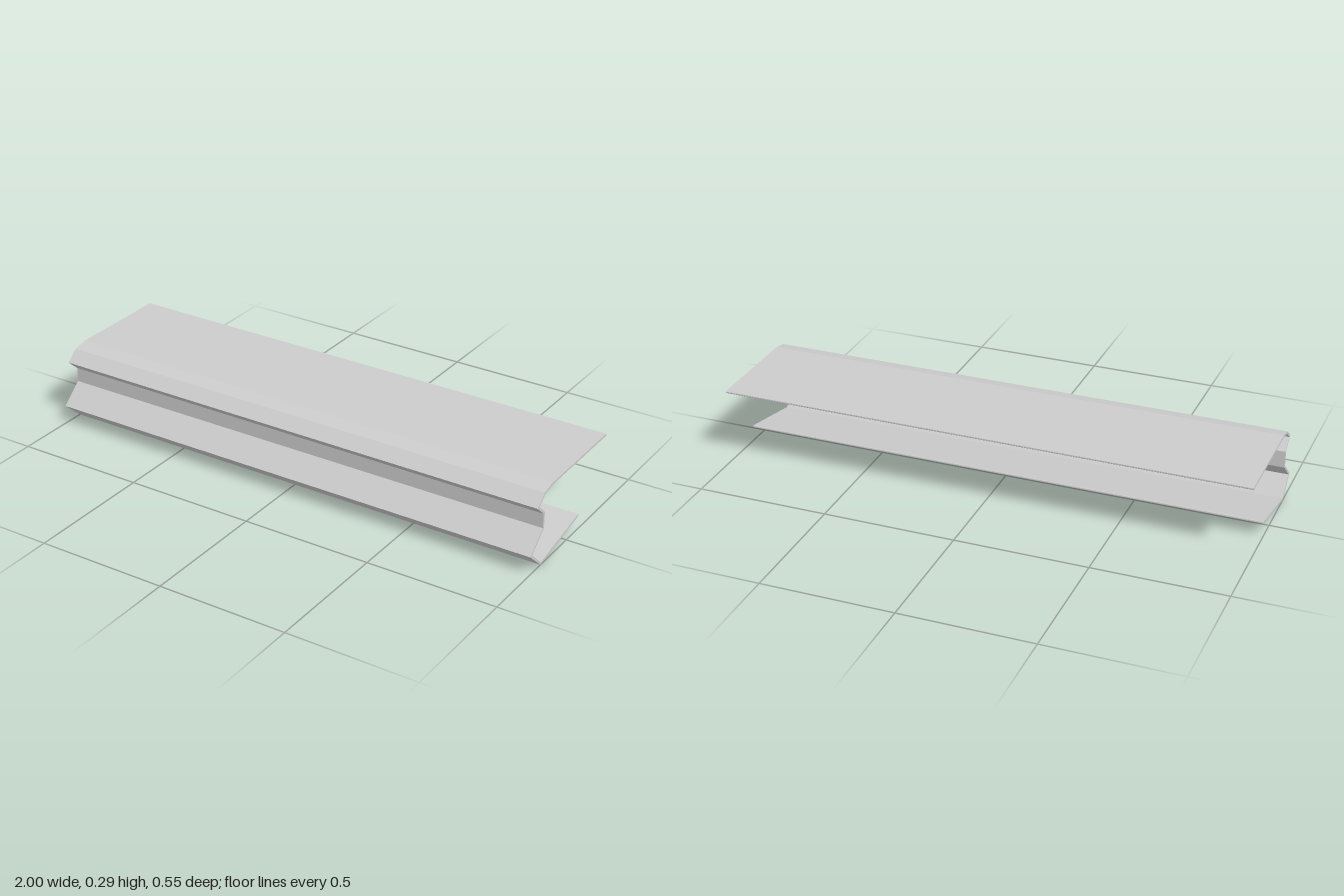
import * as THREE from 'three';

// Centre line of the bent sheet as (z, y), from the top rear edge to the lower rear edge
const PATH = [
  [-0.273, 0.29], [0.134, 0.29], [0.19, 0.278], [0.2325, 0.243], [0.1865, 0.202],
  [0.1865, 0.142], [0.267, 0.072], [0.191, 0.0047], [-0.087, 0.0575],
].map(([z, y]) => new THREE.Vector2(z, y));
const HALF = 0.0043; // half the sheet thickness
const LENGTH = 2;

const normal = (a, b) => new THREE.Vector2(a.y - b.y, b.x - a.x).normalize();

// Mitred offset of the centre line to one side, with slightly eased ends
function offsetSide(side) {
  const last = PATH.length - 1;
  const out = [];
  PATH.forEach((p, i) => {
    if (i === 0 || i === last) {
      const next = PATH[i === 0 ? 1 : last - 1];
      const n = i === 0 ? normal(p, next) : normal(next, p);
      const inward = next.clone().sub(p).setLength(HALF * 0.5);
      const face = p.clone().addScaledVector(n, side * HALF * 0.5);
      const edge = p.clone().addScaledVector(n, side * HALF).add(inward);
      out.push(...(i === 0 ? [face, edge] : [edge, face]));
      return;
    }
    const n1 = normal(PATH[i - 1], p);
    const n2 = normal(p, PATH[i + 1]);
    const miter = n1.clone().add(n2).normalize();
    out.push(p.clone().addScaledVector(miter, (side * HALF) / miter.dot(n1)));
  });
  return out;
}

export function createModel() {
  const group = new THREE.Group();
  group.name = 'foldedRail';

  // Closed outline of the folded sheet, extruded along the rail
  const shape = new THREE.Shape([...offsetSide(1), ...offsetSide(-1).reverse()]);
  const geometry = new THREE.ExtrudeGeometry(shape, { depth: LENGTH, bevelEnabled: false });
  geometry.rotateY(-Math.PI / 2);
  geometry.translate(LENGTH / 2, 0, 0);

  const material = new THREE.MeshStandardMaterial({ color: 0xcccccc, flatShading: true });
  const profile = new THREE.Mesh(geometry, material);
  profile.name = 'foldedSheetProfile';
  group.add(profile);
  return group;
}
